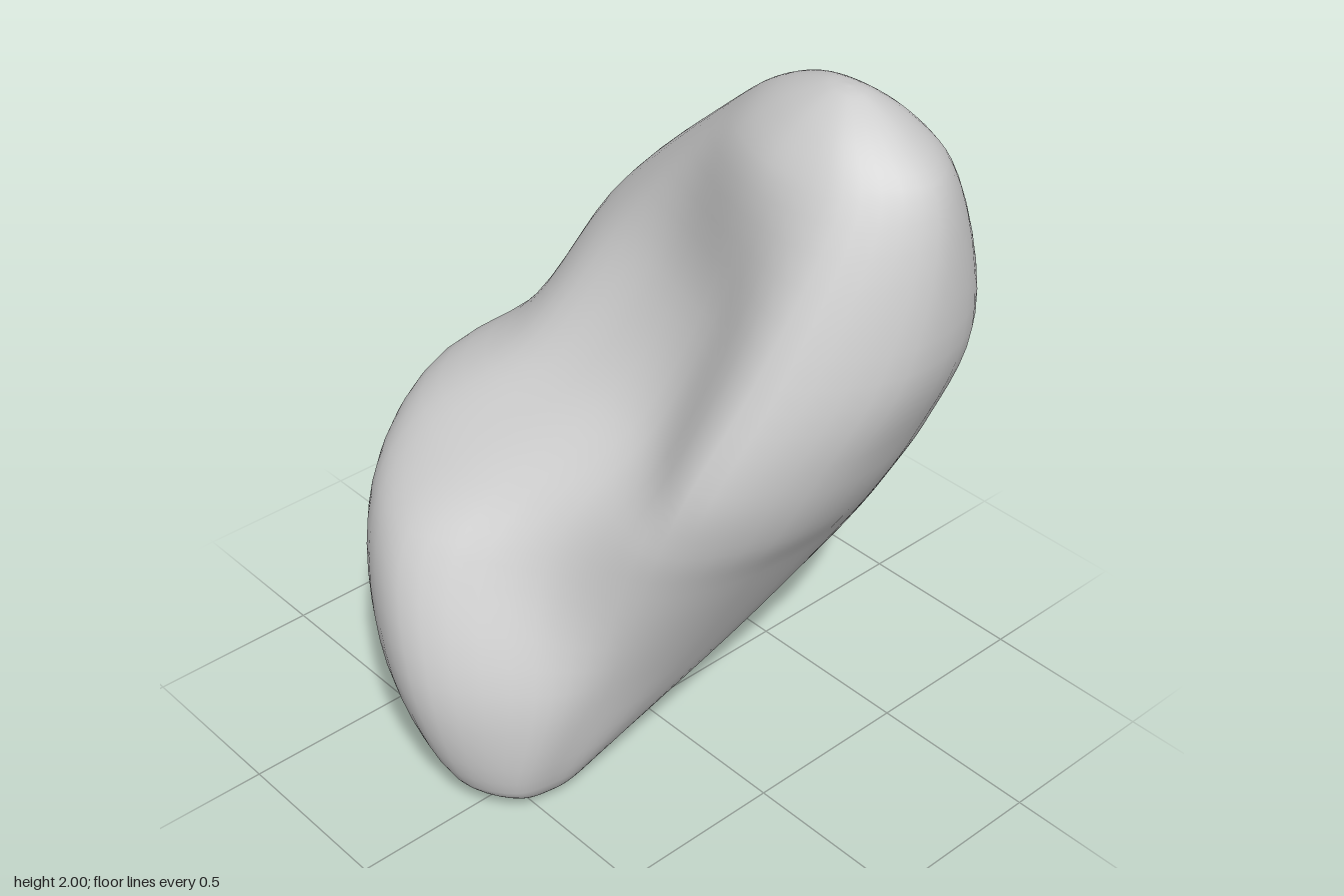
import * as THREE from 'three';
import { mergeVertices } from 'three/addons/utils/BufferGeometryUtils.js';

// Horizontal outlines: height, then x,z pairs running
// back-left, back, back-right, right, right ridge, hollow, front, front-left, left
const SECTIONS = [
  [0.10, [-0.12, 0.27, 0.02, 0.21, 0.13, 0.25, 0.17, 0.38, 0.165, 0.47, 0.13, 0.58, -0.02, 0.66, -0.16, 0.60, -0.22, 0.45]],
  [0.40, [-0.36, -0.14, -0.06, -0.29, 0.22, -0.25, 0.285, 0.10, 0.25, 0.36, 0.17, 0.54, -0.10, 0.735, -0.38, 0.63, -0.52, 0.30]],
  [0.75, [-0.47, -0.39, 0.00, -0.59, 0.40, -0.44, 0.46, 0.02, 0.34, 0.32, 0.08, 0.43, -0.24, 0.64, -0.54, 0.52, -0.71, 0.18]],
  [0.92, [-0.49, -0.48, 0.03, -0.67, 0.48, -0.48, 0.565, -0.02, 0.39, 0.30, 0.10, 0.32, -0.25, 0.43, -0.55, 0.37, -0.73, 0.07]],
  [1.10, [-0.49, -0.54, 0.07, -0.695, 0.55, -0.53, 0.64, -0.08, 0.44, 0.25, 0.16, 0.11, -0.15, 0.10, -0.42, 0.07, -0.57, -0.12]],
  [1.40, [-0.42, -0.57, 0.14, -0.735, 0.63, -0.57, 0.72, -0.22, 0.50, 0.08, 0.22, -0.04, -0.05, -0.11, -0.32, -0.16, -0.48, -0.35]],
  [1.80, [-0.02, -0.52, 0.26, -0.58, 0.55, -0.53, 0.66, -0.35, 0.52, -0.16, 0.30, -0.12, 0.10, -0.19, -0.02, -0.29, -0.07, -0.40]],
];
const BOTTOM = new THREE.Vector3(0.07, 0, 0.45);
const TOP = new THREE.Vector3(0.35, 2, -0.35);
const AROUND = 45, UP = 60;

const toRing = ([y, xz]) =>
  Array.from({ length: xz.length / 2 }, (_, i) => new THREE.Vector3(xz[2 * i], y, xz[2 * i + 1]));

// Rounded cap ring: an outline drawn in toward a pole
const capRing = (ring, pole, scale, y) =>
  ring.map((p) => p.clone().lerp(pole, 1 - scale).setY(y));

function createStone() {
  const rings = SECTIONS.map(toRing);
  const first = rings[0], last = rings[rings.length - 1];
  const all = [
    first.map(() => BOTTOM.clone()),
    capRing(first, BOTTOM, 0.62, 0.04),
    ...rings,
    capRing(last, TOP, 0.62, 1.92),
    capRing(last, TOP, 0.2, 1.99),
    last.map(() => TOP.clone()),
  ];

  // Smooth rails run from pole to pole, then each level is closed with a smooth loop
  const rails = first.map((_, i) => new THREE.CatmullRomCurve3(all.map((r) => r[i])));
  const positions = [], index = [];
  for (let j = 0; j <= UP; j++) {
    const isPole = j === 0 || j === UP;
    const loop = isPole ? null
      : new THREE.CatmullRomCurve3(rails.map((r) => r.getPoint(j / UP)), true);
    for (let i = 0; i < AROUND; i++) {
      const p = isPole ? (j === 0 ? BOTTOM : TOP) : loop.getPoint(i / AROUND);
      positions.push(p.x, THREE.MathUtils.clamp(p.y, 0, 2), p.z);
      if (j === UP) continue;
      const a = j * AROUND + i, b = j * AROUND + ((i + 1) % AROUND);
      if (j < UP - 1) index.push(a, a + AROUND, b + AROUND);
      if (j > 0) index.push(a, b + AROUND, b);
    }
  }

  let geometry = new THREE.BufferGeometry();
  geometry.setAttribute('position', new THREE.Float32BufferAttribute(positions, 3));
  geometry.setIndex(index);
  geometry = mergeVertices(geometry, 1e-5);
  geometry.computeVertexNormals();
  return geometry;
}

export function createModel() {
  const group = new THREE.Group();
  group.name = 'stone';
  const body = new THREE.Mesh(createStone(), new THREE.MeshStandardMaterial({ color: 0xcccccc }));
  body.name = 'stoneBody';
  group.add(body);
  return group;
}
